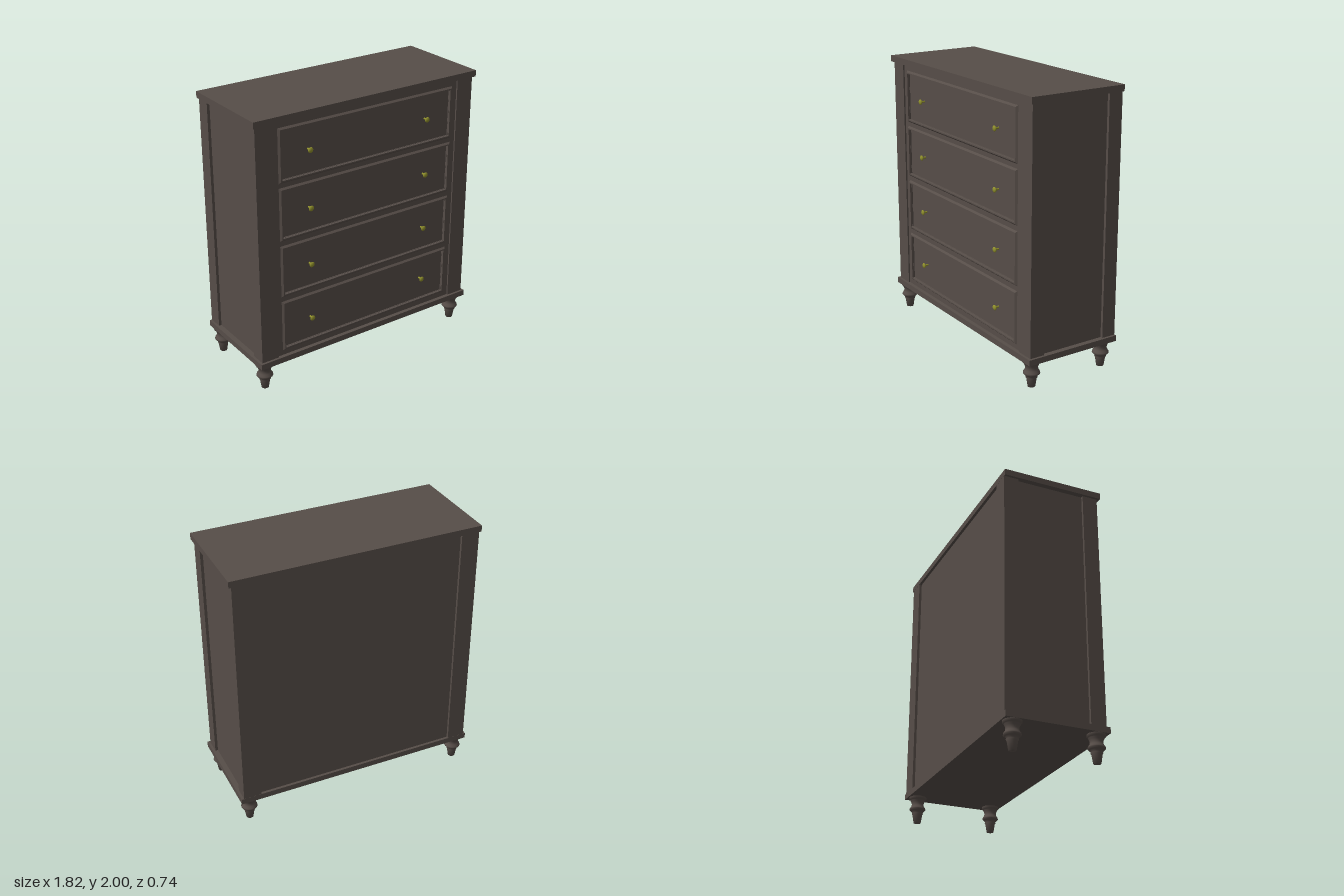
import * as THREE from 'three';

export function createModel() {
  const wood = new THREE.MeshStandardMaterial({ color: 0x564d48 });
  wood.name = 'dark wood';
  const brass = new THREE.MeshStandardMaterial({ color: 0x8f8f2c });
  brass.name = 'brass';

  const model = new THREE.Group();
  model.name = 'chestOfDrawers';

  const add = (name, geometry, material = wood, parent = model) => {
    const mesh = new THREE.Mesh(geometry, material);
    mesh.name = name;
    parent.add(mesh);
    return mesh;
  };
  // Box given by its minimum and maximum on each axis
  const box = (name, x0, x1, y0, y1, z0, z1) => {
    const mesh = add(name, new THREE.BoxGeometry(x1 - x0, y1 - y0, z1 - z0));
    mesh.position.set((x0 + x1) / 2, (y0 + y1) / 2, (z0 + z1) / 2);
    return mesh;
  };

  const bottom = 0.235, top = 1.955;
  const drawerW = 0.695, drawerH = 0.168;
  const drawerYs = [0.464, 0.884, 1.304, 1.72];

  // Overhanging top and base slabs
  box('topSlab', -0.91, 0.91, top, 2, -0.367, 0.364);
  box('baseSlab', -0.91, 0.91, 0.193, bottom, -0.367, 0.364);

  // Recessed side and back panels are the faces of the inner carcass
  box('carcass', -0.872, 0.872, bottom, top, -0.347, 0.322);

  // Corner posts
  for (const s of [-1, 1]) {
    const xs = [0.76 * s, 0.892 * s].sort((a, b) => a - b);
    box('frontPost', ...xs, bottom, top, 0.235, 0.346);
    box('backPost', ...xs, bottom, top, -0.366, -0.26);
  }

  // Front frame with an opening for each drawer
  const rect = (path, x, y0, y1) => {
    path.moveTo(-x, y0).lineTo(x, y0).lineTo(x, y1).lineTo(-x, y1).closePath();
    return path;
  };
  const frame = rect(new THREE.Shape(), 0.76, bottom, top);
  for (const y of drawerYs) {
    frame.holes.push(rect(new THREE.Path(), drawerW, y - drawerH, y + drawerH));
  }
  const frameGeometry = new THREE.ExtrudeGeometry(frame, { depth: 0.013, bevelEnabled: false });
  add('frontFrame', frameGeometry.translate(0, 0, 0.322));

  // Stepped moulding: rectangular loops as [outset, z], from outside to inside
  const mouldingGeometry = () => {
    const loops = [[0.024, 0.335], [0.012, 0.348], [0.003, 0.348], [0, 0.326]];
    const positions = [];
    const corner = ([o, z], i) => [
      (drawerW + o) * [-1, 1, 1, -1][i % 4],
      (drawerH + o) * [-1, -1, 1, 1][i % 4], z];
    for (let k = 0; k < loops.length - 1; k++) {
      for (let i = 0; i < 4; i++) {
        const a = corner(loops[k], i), b = corner(loops[k], i + 1);
        const c = corner(loops[k + 1], i + 1), d = corner(loops[k + 1], i);
        positions.push(...a, ...b, ...c, ...a, ...c, ...d);
      }
    }
    const geometry = new THREE.BufferGeometry();
    geometry.setAttribute('position', new THREE.Float32BufferAttribute(positions, 3));
    geometry.computeVertexNormals();
    return geometry;
  };

  // Knob turned from a thin stem and a small domed cap
  const knobProfile = [[0.007, 0], [0.006, 0.028], [0.018, 0.03], [0.02, 0.035],
    [0.016, 0.04], [0.008, 0.043], [0, 0.044]].map(([r, y]) => new THREE.Vector2(r, y));
  const knobGeometry = new THREE.LatheGeometry(knobProfile, 16).rotateX(Math.PI / 2);

  // Drawers
  const moulding = mouldingGeometry();
  drawerYs.forEach((y) => {
    const drawer = new THREE.Group();
    drawer.name = 'drawer';
    drawer.position.y = y;
    model.add(drawer);
    add('drawerMoulding', moulding, wood, drawer);
    const panel = add('drawerPanel', new THREE.BoxGeometry(drawerW * 2, drawerH * 2, 0.008), wood, drawer);
    panel.position.z = 0.324;
    for (const s of [-1, 1]) {
      add('knob', knobGeometry, brass, drawer).position.set(0.485 * s, 0, 0.327);
    }
  });

  // Turned legs
  const legProfile = [[0, 0], [0.026, 0], [0.036, 0.062], [0.041, 0.07], [0.038, 0.08],
    [0.05, 0.09], [0.059, 0.1], [0.057, 0.11], [0.047, 0.125], [0.043, 0.14],
    [0.047, 0.158], [0.053, 0.168], [0.054, 0.175], [0.063, 0.181], [0.063, 0.195]]
    .map(([r, y]) => new THREE.Vector2(r, y));
  const legGeometry = new THREE.LatheGeometry(legProfile, 24);
  for (const x of [-0.846, 0.832]) {
    for (const z of [-0.294, 0.293]) {
      add(z > 0 ? 'frontLeg' : 'backLeg', legGeometry).position.set(x, 0, z);
    }
  }

  return model;
}
